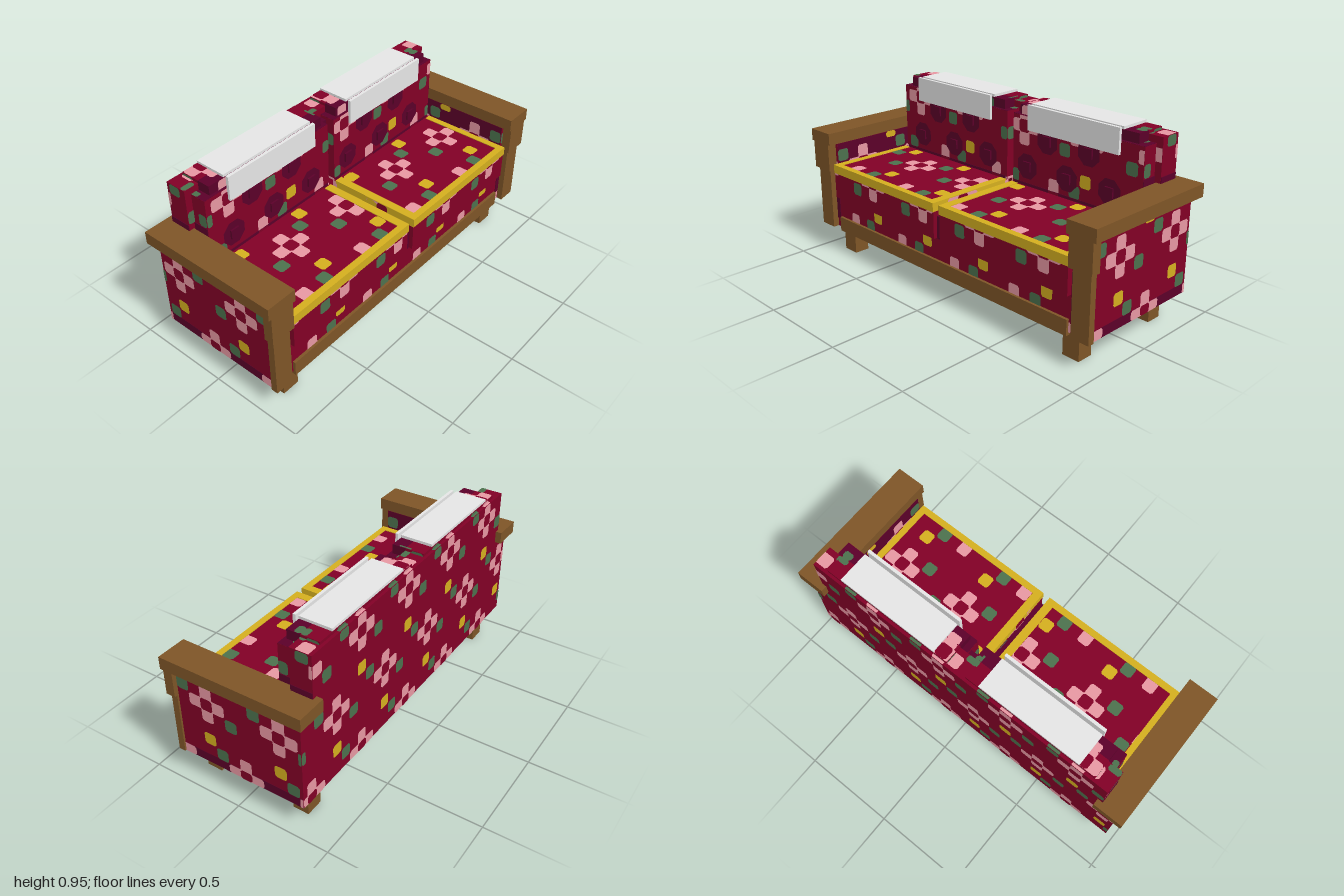
import * as THREE from 'three';
import { mergeGeometries } from 'three/addons/utils/BufferGeometryUtils.js';

const mat = (name, color) => {
  const m = new THREE.MeshStandardMaterial({ color });
  m.name = name;
  return m;
};
const M = {
  crimson: mat('crimson fabric', 0x820026),
  plum: mat('plum fabric', 0x5b0029),
  pink: mat('pink petals', 0xe898a3),
  green: mat('green leaves', 0x4c714d),
  gold: mat('gold trim', 0xd4af1f),
  wood: mat('brown wood', 0x7e5527),
  cloth: mat('pale cloth', 0xe6e6e6),
};

// Box given by its two corners
function box(parent, name, material, [x0, x1], [y0, y1], [z0, z1]) {
  const g = new THREE.BoxGeometry(x1 - x0, y1 - y0, z1 - z0);
  g.translate((x0 + x1) / 2, (y0 + y1) / 2, (z0 + z1) / 2);
  const mesh = new THREE.Mesh(g, material);
  mesh.name = name;
  parent.add(mesh);
  return mesh;
}

// Floral pattern: square cells on a staggered lattice of flowers, leaves and buds
const U = 1 / 15;
const BLOOM = {
  '0,0': 'crimson', '1,0': 'pink', '5,0': 'pink', '0,1': 'pink', '3,4': 'pink',
  '2,1': 'green', '1,4': 'green', '3,2': 'gold',
};
function bloomAt(di, dj) {
  const k = Math.floor(dj / 5);
  const i = (((di - 3 * k) % 6) + 6) % 6;
  return BLOOM[`${i},${dj - 5 * k}`];
}

// Square with cut corners; corners are listed as lower left, lower right, upper right, upper left
function blobShape(u0, u1, v0, v1, cut = [1, 1, 1, 1]) {
  const c = Math.min(0.01, (u1 - u0) / 4, (v1 - v0) / 4);
  const corners = [
    [[u0, v0 + c], [u0 + c, v0], [u0, v0]],
    [[u1 - c, v0], [u1, v0 + c], [u1, v0]],
    [[u1, v1 - c], [u1 - c, v1], [u1, v1]],
    [[u0 + c, v1], [u0, v1 - c], [u0, v1]],
  ];
  const points = corners.flatMap(([a, b, sharp], n) => (cut[n] ? [a, b] : [sharp]));
  return new THREE.Shape(points.map(([a, b]) => new THREE.Vector2(a, b)));
}

const X = new THREE.Vector3(1, 0, 0), Y = new THREE.Vector3(0, 1, 0), Z = new THREE.Vector3(0, 0, 1);
const DIAGONALS = [[-1, -1], [1, -1], [1, 1], [-1, 1]];

// Fabric block with the pattern laid on all six faces
function fabricBox(parent, name, xr, yr, zr, ground = M.crimson) {
  const group = new THREE.Group();
  group.name = name;
  parent.add(group);
  box(group, name + 'Body', ground, xr, yr, zr);
  const flip = ([a, b]) => [-b, -a];
  const faces = [
    // across axis, up axis, across range, up range, flower cell, winding sign, distance
    [X, Y, xr, yr, -8, 7, 1, zr[1]],
    [X, Y, xr, yr, -8, 7, -1, -zr[0]],
    [Z, Y, zr, yr, 2, 7, -1, xr[1]],
    [Z, Y, zr, yr, 2, 7, 1, -xr[0]],
    [X, Z.clone().negate(), xr, flip(zr), -8, -1, 1, yr[1]],
    [X, Z.clone().negate(), xr, flip(zr), -8, -1, -1, -yr[0]],
  ];
  const parts = { pink: [], green: [], gold: [], crimson: [] };
  for (const [A, V, ur, vr, fi, fj, s, dist] of faces) {
    const a = A.clone().multiplyScalar(s);
    const n = a.clone().cross(V);
    const add = (color, shape, lift) => {
      const m = new THREE.Matrix4().makeBasis(a, V, n).setPosition(n.clone().multiplyScalar(dist + lift));
      parts[color].push(new THREE.ShapeGeometry(shape).applyMatrix4(m));
    };
    for (let i = Math.floor(ur[0] / U); i * U < ur[1]; i++) {
      for (let j = Math.floor(vr[0] / U); j * U < vr[1]; j++) {
        const color = bloomAt(i - fi, j - fj);
        if (!color) continue;
        const u0 = Math.max(i * U, ur[0]), u1 = Math.min((i + 1) * U, ur[1]);
        const v0 = Math.max(j * U, vr[0]), v1 = Math.min((j + 1) * U, vr[1]);
        if (u1 - u0 < 0.004 || v1 - v0 < 0.004) continue;
        const [p, q] = s > 0 ? [u0, u1] : [-u1, -u0];
        if (color === 'crimson') {
          // Flower heart: rounded, with pink showing at its corners
          add('pink', blobShape(p, q, v0, v1, [0, 0, 0, 0]), 0.002);
          add('crimson', blobShape(p, q, v0, v1), 0.0035);
        } else {
          // Petals stay square where they meet another petal
          const cut = DIAGONALS.map(([du, dv]) => bloomAt(i + s * du - fi, j + dv - fj) !== color);
          add(color, blobShape(p, q, v0, v1, cut), 0.002);
        }
      }
    }
  }
  for (const [color, list] of Object.entries(parts)) {
    if (!list.length) continue;
    const mesh = new THREE.Mesh(mergeGeometries(list), M[color]);
    mesh.name = `${name}${color[0].toUpperCase()}${color.slice(1)}Print`;
    group.add(mesh);
  }
}

export function createModel() {
  const sofa = new THREE.Group();
  sofa.name = 'sofa';

  // Base with dark underside, backrest and front rail
  fabricBox(sofa, 'base', [-0.84, 0.84], [0.15, 0.335], [-0.34, 0.335]);
  box(sofa, 'underside', M.plum, [-0.959, 0.959], [0.149, 0.155], [-0.349, 0.334]);
  fabricBox(sofa, 'backrest', [-0.865, 0.865], [0.15, 0.92], [-0.35, -0.235]);
  box(sofa, 'frontRail', M.wood, [-0.83, 0.83], [0.135, 0.215], [0.325, 0.35]);

  // Dark crease between the two halves
  box(sofa, 'seatCrease', M.plum, [-0.022, 0.022], [0.33, 0.45], [-0.2, 0.339]);
  box(sofa, 'backCrease', M.plum, [-0.022, 0.022], [0.45, 0.87], [-0.24, -0.2]);

  for (const s of [-1, 1]) {
    const side = s > 0 ? 'left' : 'right';
    const half = new THREE.Group();
    half.name = side + 'Half';
    sofa.add(half);
    const mx = (a, b) => (s > 0 ? [a, b] : [-b, -a]);

    // Arm: upholstered panel, wooden top and stepped front post
    fabricBox(half, side + 'ArmPanel', mx(0.84, 0.96), [0.15, 0.635], [-0.35, 0.335]);
    box(half, 'armInnerLining', M.plum, mx(0.839, 0.845), [0.16, 0.634], [-0.34, 0.334]);
    box(half, 'armSkirt', M.plum, mx(0.95, 0.961), [0.15, 0.2], [-0.349, 0.334]);
    box(half, 'armCrease', M.plum, mx(0.842, 0.87), [0.2, 0.485], [0.33, 0.338]);
    box(half, 'armrest', M.wood, mx(0.84, 1), [0.635, 0.7], [-0.383, 0.385]);
    box(half, 'upperPost', M.wood, mx(0.855, 0.985), [0.485, 0.635], [0.334, 0.384]);
    box(half, 'lowerPost', M.wood, mx(0.87, 0.97), [0.15, 0.485], [0.334, 0.369]);

    // Legs
    for (const [name, z] of [['frontLeg', [0.215, 0.3]], ['backLeg', [-0.3, -0.215]]]) {
      box(half, name, M.wood, mx(0.77, 0.865), [0, 0.15], z);
    }

    // Seat cushion with gold edging
    fabricBox(half, side + 'SeatCushion', mx(0.022, 0.838), [0.335, 0.52], [-0.16, 0.361]);
    box(half, 'frontEdging', M.gold, mx(0.02, 0.839), [0.477, 0.524], [0.33, 0.365]);
    box(half, 'innerEdging', M.gold, mx(0.02, 0.065), [0.477, 0.524], [-0.14, 0.34]);
    box(half, 'outerEdging', M.gold, mx(0.803, 0.839), [0.477, 0.524], [-0.14, 0.34]);

    // Back cushion with a raised top and dark creases
    fabricBox(half, side + 'BackCushion', mx(0.022, 0.83), [0.52, 0.885], [-0.24, -0.15]);
    box(half, 'cushionLedge', M.plum, mx(0.023, 0.829), [0.88, 0.886], [-0.235, -0.151]);
    fabricBox(half, side + 'CushionTopFront', mx(0.055, 0.785), [0.88, 0.935], [-0.235, -0.165], M.plum);
    fabricBox(half, side + 'CushionTopBack', mx(0.055, 0.785), [0.88, 0.935], [-0.335, -0.235]);
    box(half, 'cushionSideCrease', M.plum, mx(0.82, 0.833), [0.69, 0.73], [-0.235, -0.151]);
    box(half, 'backSideCrease', M.plum, mx(0.86, 0.868), [0.69, 0.73], [-0.349, -0.236]);
    box(half, 'cushionFoot', M.plum, mx(0.03, 0.82), [0.52, 0.535], [-0.16, -0.1475]);

    // Tufts: dark rounded patch and square button
    const middle = s > 0 ? 0.385 : -0.422;
    for (const [dx, y] of [[-0.262, 0.625], [0, 0.625], [0.262, 0.625], [-0.131, 0.785], [0.131, 0.785]]) {
      const x = middle + dx;
      const patch = new THREE.Mesh(new THREE.CircleGeometry(0.07, 8, Math.PI / 8), M.plum);
      patch.name = 'tuftPatch';
      patch.position.set(x, y, -0.1455);
      half.add(patch);
      box(half, 'tuftButton', M.plum, [x - 0.025, x + 0.025], [y - 0.025, y + 0.025], [-0.15, -0.136]);
    }

    // Cloth cover: top sheet and front flap
    box(half, 'coverTop', M.cloth, mx(0.132, 0.698), [0.936, 0.95], [-0.335, -0.165]);
    box(half, 'coverFlap', M.cloth, mx(0.132, 0.698), [0.82, 0.95], [-0.149, -0.133]);
  }
  return sofa;
}
